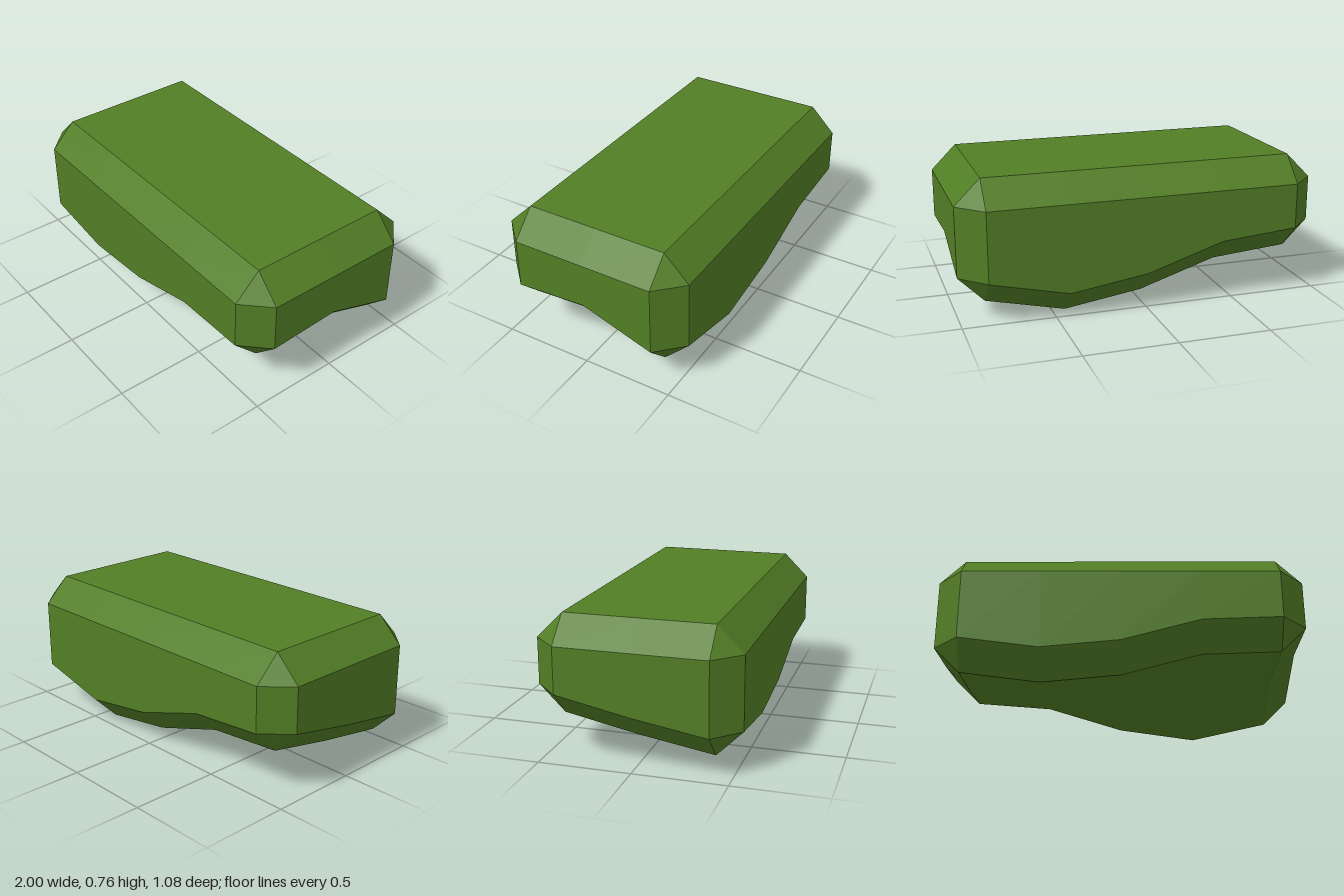
import * as THREE from 'three';

const XS = [-0.86, -0.43, 0, 0.43, 0.86];
const ZS = [-0.4, 0, 0.4];
const BEVEL = 0.14, TOP = 0.765;
// Underside heights: one row per z, one column per x
const UNDER = [
  [0.235, 0.2, 0.063, 0, 0.1],
  [0.155, 0.165, 0.15, 0.14, 0.235],
  [0.09, 0.033, 0.075, 0.195, 0.21],
];

function makeMesh(name, triangles, material) {
  const geometry = new THREE.BufferGeometry().setFromPoints(triangles);
  geometry.computeVertexNormals();
  const mesh = new THREE.Mesh(geometry, material);
  mesh.name = name;
  return mesh;
}

// Two triangles for a counter-clockwise quad, leaving out collapsed ones
function quad(out, a, b, c, d) {
  for (const [p, q, r] of [[a, b, c], [a, c, d]]) {
    if (!p.equals(q) && !q.equals(r) && !r.equals(p)) out.push(p, q, r);
  }
}

export function createModel() {
  const group = new THREE.Group();
  group.name = 'foliageBlock';
  const green = new THREE.MeshStandardMaterial({ color: 0x527e25, flatShading: true });
  green.name = 'leafGreen';

  // Perimeter, counter-clockwise seen from above: grid column, row and outward direction
  const rim = [];
  for (let i = 0; i < 5; i++) rim.push([i, 2, 0, 1]);
  for (let j = 2; j >= 0; j--) rim.push([4, j, 1, 0]);
  for (let i = 4; i >= 0; i--) rim.push([i, 0, 0, -1]);
  for (let j = 0; j < 3; j++) rim.push([0, j, -1, 0]);

  const ring = (offset, height) => rim.map(([i, j, dx, dz]) =>
    new THREE.Vector3(XS[i] + dx * offset, height(i, j), ZS[j] + dz * offset));
  const rings = [
    ring(0, (i, j) => UNDER[j][i]),
    ring(BEVEL, (i, j) => UNDER[j][i] + BEVEL),
    ring(BEVEL, () => TOP - BEVEL),
    ring(0, () => TOP),
  ];

  // Lower bevel, walls and upper bevel
  ['lowerBevel', 'walls', 'upperBevel'].forEach((name, k) => {
    const tris = [];
    rim.forEach((_, n) => {
      const m = (n + 1) % rim.length;
      quad(tris, rings[k][n], rings[k][m], rings[k + 1][m], rings[k + 1][n]);
    });
    group.add(makeMesh(name, tris, green));
  });

  // Flat top
  const top = [];
  const corner = (x, z) => new THREE.Vector3(x * 0.86, TOP, z * 0.4);
  quad(top, corner(-1, 1), corner(1, 1), corner(1, -1), corner(-1, -1));
  group.add(makeMesh('top', top, green));

  // Uneven underside with alternating diagonals
  const under = [];
  const p = (i, j) => new THREE.Vector3(XS[i], UNDER[j][i], ZS[j]);
  for (let i = 0; i < 4; i++) {
    for (let j = 0; j < 2; j++) {
      const c = [p(i, j), p(i + 1, j), p(i + 1, j + 1), p(i, j + 1)];
      const s = (i + j) % 2 === 0 ? 1 : 0;
      // Diagonals meet at the middle row's odd columns
      const k = s ? 0 : 1;
      quad(under, c[k], c[(k + 1) % 4], c[(k + 2) % 4], c[(k + 3) % 4]);
    }
  }
  group.add(makeMesh('underside', under, green));
  return group;
}
